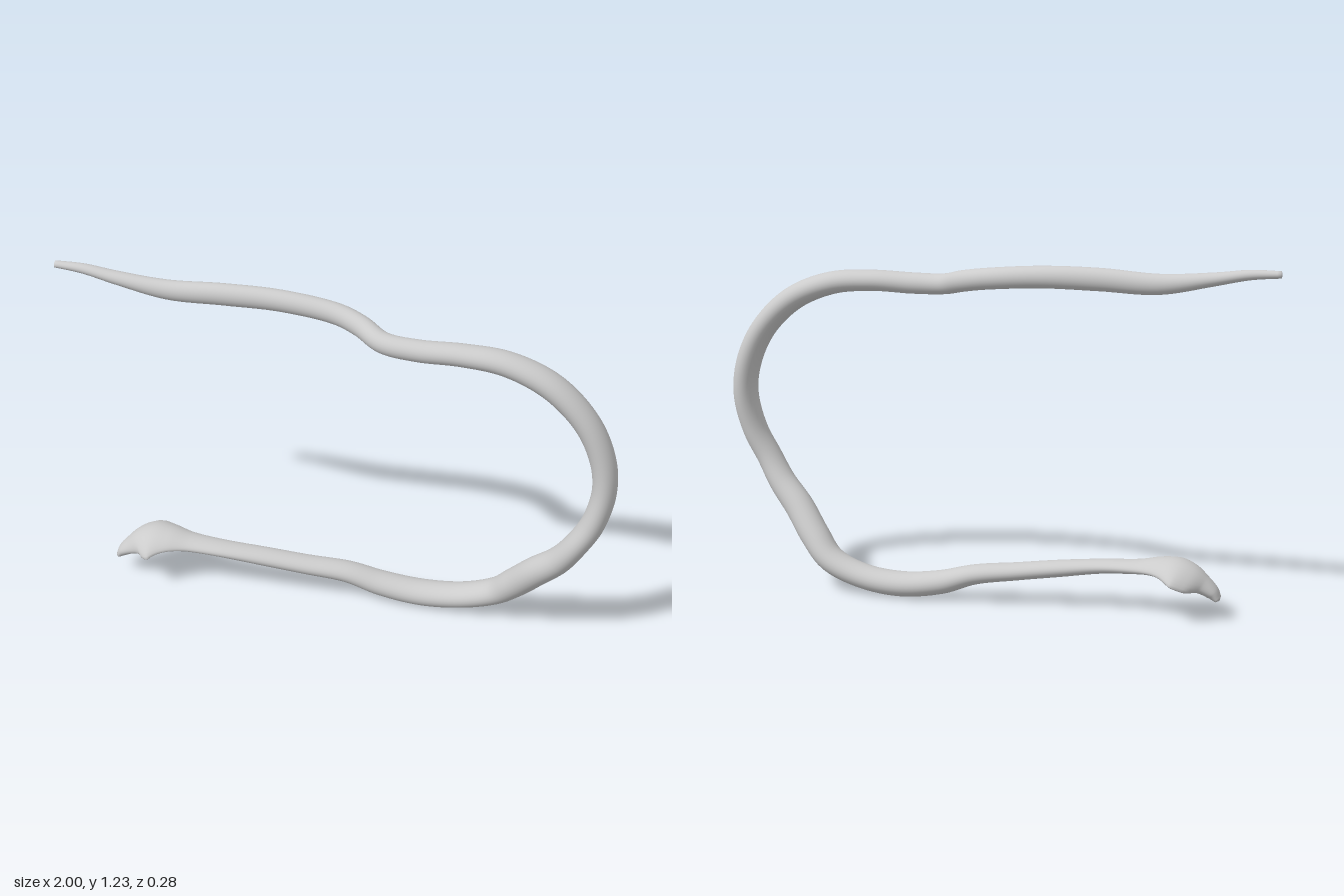
import * as THREE from 'three';

// Stations along the body, tail to head:
// x, y, z, half thickness in the bend plane, half width across it, droop of the side edges
const tail = [
  [-1.0, 1.222, -0.04, 0.012, 0.014, 0],
  [-0.9, 1.217, -0.045, 0.017, 0.02, 0],
  [-0.78, 1.197, -0.05, 0.023, 0.027, 0],
  [-0.6, 1.173, -0.06, 0.035, 0.032, 0],
  [-0.4, 1.18, -0.07, 0.039, 0.034, 0],
  [-0.2, 1.18, -0.082, 0.038, 0.036, 0],
  [0.0, 1.163, -0.077, 0.037, 0.037, 0],
  [0.09, 1.147, -0.048, 0.037, 0.037, 0],
  [0.18, 1.125, 0.0, 0.036, 0.038, 0],
  [0.3, 1.12, 0.01, 0.037, 0.04, 0],
  [0.45, 1.123, 0.002, 0.037, 0.045, 0],
];
const bend = [
  [0.6, 1.108, -0.008, 0.04, 0.05, 0],
  [0.75, 1.045, -0.012, 0.043, 0.055, 0],
  [0.87, 0.93, -0.012, 0.043, 0.056, 0],
  [0.935, 0.8, -0.008, 0.043, 0.056, 0],
  [0.953, 0.68, 0.0, 0.042, 0.056, 0],
  [0.927, 0.55, 0.014, 0.042, 0.055, 0],
  [0.875, 0.45, 0.02, 0.043, 0.054, 0],
  [0.82, 0.365, 0.006, 0.047, 0.054, 0],
  [0.74, 0.28, -0.02, 0.052, 0.055, 0],
  [0.665, 0.19, -0.055, 0.052, 0.056, 0],
  [0.59, 0.115, -0.082, 0.046, 0.056, 0],
  [0.47, 0.067, -0.087, 0.043, 0.056, 0],
  [0.32, 0.05, -0.082, 0.044, 0.056, 0],
  [0.17, 0.069, -0.07, 0.042, 0.052, 0],
];
const neckAndHead = [
  [0.05, 0.105, -0.055, 0.035, 0.047, 0],
  [-0.1, 0.125, -0.03, 0.031, 0.044, 0],
  [-0.25, 0.145, -0.008, 0.029, 0.043, 0],
  [-0.4, 0.163, 0.012, 0.024, 0.044, 0],
  [-0.53, 0.175, 0.018, 0.023, 0.053, 0.005],
  [-0.61, 0.19, 0.02, 0.024, 0.082, 0.022],
  [-0.67, 0.188, 0.02, 0.027, 0.113, 0.04],
  [-0.715, 0.165, 0.022, 0.031, 0.1, 0.035],
  [-0.75, 0.135, 0.03, 0.029, 0.06, 0.012],
  [-0.785, 0.103, 0.035, 0.023, 0.04, 0],
  [-0.805, 0.08, 0.036, 0.012, 0.028, 0],
];

// Sweep a varying oval along the stations, closing both ends
function sweptBody(stations, steps, sides) {
  const path = new THREE.CatmullRomCurve3(
    stations.map((s) => new THREE.Vector3(s[0], s[1], s[2])), false, 'centripetal');
  const size = new THREE.CatmullRomCurve3(
    stations.map((s) => new THREE.Vector3(s[3], s[4], s[5])), false, 'catmullrom');
  const positions = [];
  const index = [];

  for (let i = 0; i <= steps; i++) {
    const t = i / steps;
    const p = path.getPoint(t);
    const r = size.getPoint(t);
    const tangent = path.getTangent(t);
    const side = new THREE.Vector3(0, 0, 1).addScaledVector(tangent, -tangent.z).normalize();
    const normal = new THREE.Vector3().crossVectors(tangent, side);
    for (let j = 0; j < sides; j++) {
      const angle = (j / sides) * Math.PI * 2;
      const across = Math.sin(angle);
      const v = p.clone()
        .addScaledVector(normal, Math.cos(angle) * r.x - r.z * across * across)
        .addScaledVector(side, across * r.y);
      positions.push(v.x, v.y, v.z);
      if (i < steps) {
        const k = (j + 1) % sides;
        const a = i * sides + j, b = i * sides + k;
        index.push(a, a + sides, b, b, a + sides, b + sides);
      }
    }
  }

  // Blunt tips
  const first = positions.length / 3;
  for (const t of [0, 1]) {
    const tip = path.getPoint(t).addScaledVector(path.getTangent(t), t ? 0.008 : -0.003);
    positions.push(tip.x, tip.y, tip.z);
  }
  for (let j = 0; j < sides; j++) {
    const k = (j + 1) % sides;
    index.push(first, j, k, first + 1, steps * sides + k, steps * sides + j);
  }

  const geometry = new THREE.BufferGeometry();
  geometry.setAttribute('position', new THREE.Float32BufferAttribute(positions, 3));
  geometry.setIndex(index);
  geometry.computeVertexNormals();
  return geometry;
}

export function createModel() {
  const group = new THREE.Group();
  group.name = 'snake';
  const material = new THREE.MeshStandardMaterial({ color: 0xcccccc });
  const body = new THREE.Mesh(sweptBody([...tail, ...bend, ...neckAndHead], 280, 28), material);
  body.name = 'body';
  group.add(body);
  return group;
}
